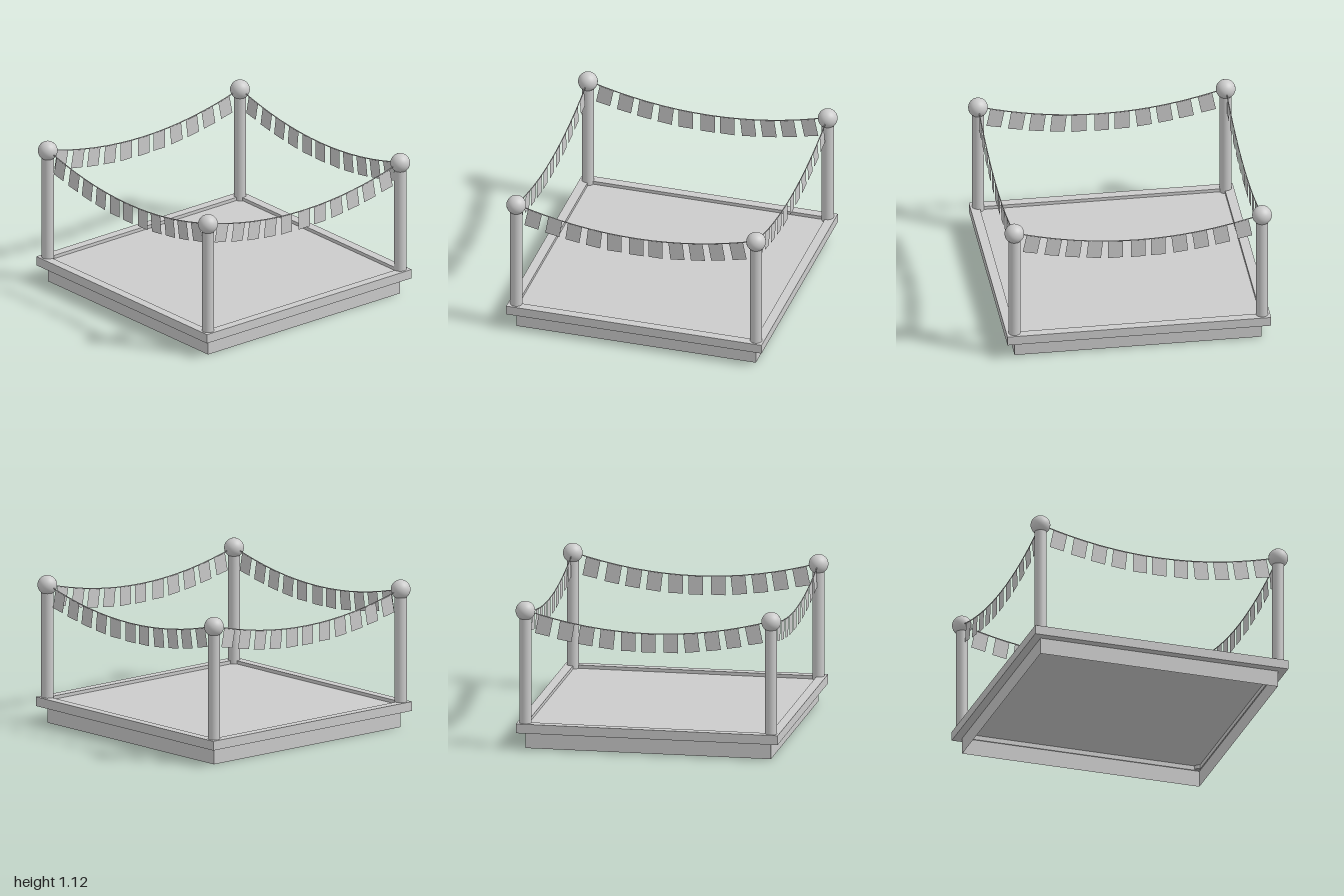
import * as THREE from 'three';

const POST = 0.925; // distance of posts and ropes from the centre
const ROPE_LOW = 0.912, ROPE_HIGH = 1.05;
const SAG = (ROPE_HIGH - ROPE_LOW) / (POST * POST);
const ropeY = (x) => ROPE_LOW + SAG * x * x;
const FLAGS = [-0.78, -0.623, -0.472, -0.317, -0.17, 0, 0.15, 0.303, 0.457, 0.609, 0.77];

const grey = new THREE.MeshStandardMaterial({ color: 0xcccccc });
const greyThin = new THREE.MeshStandardMaterial({ color: 0xcccccc, side: THREE.DoubleSide });
const greyFlat = new THREE.MeshStandardMaterial({ color: 0xcccccc, side: THREE.DoubleSide, flatShading: true });

function add(parent, name, geometry, material, x = 0, y = 0, z = 0) {
  const mesh = new THREE.Mesh(geometry, material);
  mesh.name = name;
  mesh.position.set(x, y, z);
  parent.add(mesh);
  return mesh;
}

// Square outline centred on the origin
function square(half, Type) {
  return new Type([[-1, -1], [1, -1], [1, 1], [-1, 1]].map(([x, y]) => new THREE.Vector2(x * half, y * half)));
}

// One sagging rope along x with a row of rectangular flags
function makeBunting() {
  const bunting = new THREE.Group();
  const curve = new THREE.QuadraticBezierCurve3(
    new THREE.Vector3(-POST, ROPE_HIGH, 0),
    new THREE.Vector3(0, 2 * ROPE_LOW - ROPE_HIGH, 0),
    new THREE.Vector3(POST, ROPE_HIGH, 0));
  add(bunting, 'rope', new THREE.TubeGeometry(curve, 16, 0.004, 6), grey);

  // The three middle flags hang straight, the others tilt with the rope
  const flag = new THREE.PlaneGeometry(0.11, 0.143).translate(0, -0.0715, 0);
  FLAGS.forEach((x, i) => {
    const step = Math.abs(i - 5);
    const mesh = add(bunting, 'flag', flag, greyThin, x, ropeY(x), 0);
    mesh.rotation.z = step < 2 ? 0 : Math.sign(x) * (0.05 + 0.03 * step);
  });
  return bunting;
}

export function createModel() {
  const model = new THREE.Group();
  model.name = 'ring';

  // Hollow skirt under the platform, open at top and bottom
  const skirt = new THREE.CylinderGeometry(0.923 * Math.SQRT2, 0.923 * Math.SQRT2, 0.125, 4, 1, true).rotateY(Math.PI / 4);
  add(model, 'baseSkirt', skirt, greyFlat, 0, 0.0625, 0);

  // Platform edge with a thin floor set slightly lower inside it
  const rimShape = square(0.985, THREE.Shape);
  rimShape.holes.push(square(0.915, THREE.Path));
  const rim = new THREE.ExtrudeGeometry(rimShape, { depth: 0.07, bevelEnabled: false }).rotateX(-Math.PI / 2);
  add(model, 'platformRim', rim, grey, 0, 0.125, 0);
  add(model, 'floor', new THREE.BoxGeometry(1.83, 0.01, 1.83), grey, 0, 0.165, 0);

  // Corner posts with ball tops
  const post = new THREE.CylinderGeometry(0.045, 0.045, 0.89, 24);
  const ball = new THREE.SphereGeometry(0.073, 32, 20);
  for (const sx of [-1, 1]) {
    for (const sz of [-1, 1]) {
      add(model, 'cornerPost', post, grey, sx * POST, 0.575, sz * POST);
      add(model, 'postBall', ball, grey, sx * POST, 1.045, sz * POST);
    }
  }

  // Bunting on all four sides
  for (const s of [-1, 1]) {
    const across = makeBunting();
    across.name = s > 0 ? 'frontBunting' : 'backBunting';
    across.position.z = s * POST;
    const along = makeBunting();
    along.name = s > 0 ? 'leftBunting' : 'rightBunting';
    along.rotation.y = Math.PI / 2;
    along.position.x = s * POST;
    model.add(across, along);
  }
  return model;
}
